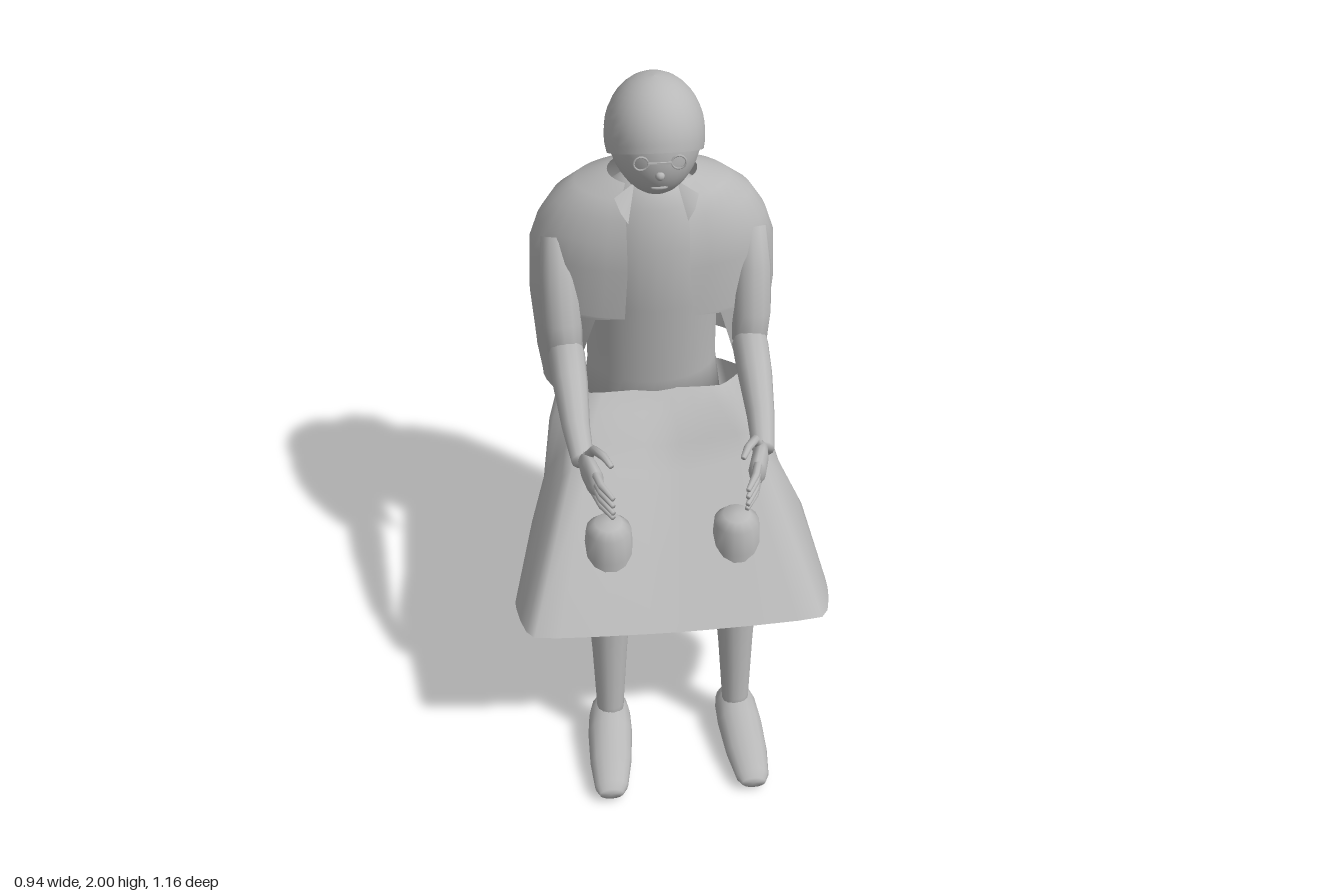
import * as THREE from 'three';

const V = (x, y, z) => new THREE.Vector3(x, y, z);

// Skin a stack of equal-length rings, optionally closed around and capped.
function skin(rings, closed = true, caps = false) {
  const n = rings[0].length, pos = [], idx = [];
  rings.forEach(r => r.forEach(p => pos.push(p.x, p.y, p.z)));
  const cols = closed ? n : n - 1;
  for (let i = 0; i < rings.length - 1; i++) {
    for (let j = 0; j < cols; j++) {
      const k = (j + 1) % n;
      const a = i * n + j, b = i * n + k, c = b + n, d = a + n;
      idx.push(a, b, c, a, c, d);
    }
  }
  if (caps) {
    [0, rings.length - 1].forEach(i => {
      const m = rings[i].reduce((s, p) => s.add(p), V(0, 0, 0)).divideScalar(n);
      const o = pos.length / 3;
      pos.push(m.x, m.y, m.z);
      for (let j = 0; j < n; j++) {
        const a = i * n + j, b = i * n + (j + 1) % n;
        if (i === 0) idx.push(o, b, a); else idx.push(o, a, b);
      }
    });
  }
  const g = new THREE.BufferGeometry();
  g.setAttribute('position', new THREE.Float32BufferAttribute(pos, 3));
  g.setIndex(idx);
  g.computeVertexNormals();
  return g;
}

// Tapered limb through points [x, y, z, radius].
function limb(pts, sides = 12) {
  const P = pts.map(p => V(p[0], p[1], p[2]));
  const rings = P.map((p, i) => {
    const t = P[Math.min(i + 1, P.length - 1)].clone().sub(P[Math.max(i - 1, 0)]).normalize();
    const u = V(1, 0, 0).addScaledVector(t, -t.x).normalize();
    const v = t.clone().cross(u);
    return Array.from({ length: sides }, (_, j) => {
      const a = j / sides * Math.PI * 2;
      return p.clone().addScaledVector(u, Math.cos(a) * pts[i][3]).addScaledVector(v, Math.sin(a) * pts[i][3]);
    });
  });
  return skin(rings, true, true);
}

// Horizontal elliptical ring: centre z, radii, height.
const ellipse = ([y, rx, rz, cz], n = 24) => Array.from({ length: n }, (_, j) => {
  const a = j / n * Math.PI * 2;
  return V(Math.sin(a) * rx, y, cz + Math.cos(a) * rz);
});

export function createModel() {
  const group = new THREE.Group();
  const clay = new THREE.MeshStandardMaterial({ color: 0xb8b8b8, side: THREE.DoubleSide });
  clay.name = 'plain grey';
  const add = (name, geo, x = 0, y = 0, z = 0) => {
    const m = new THREE.Mesh(geo, clay);
    m.name = name;
    m.position.set(x, y, z);
    group.add(m);
    return m;
  };

  // Head: egg shape narrowing to the chin
  const head = new THREE.SphereGeometry(1, 28, 20);
  const hp = head.attributes.position;
  for (let i = 0; i < hp.count; i++) {
    const y = hp.getY(i), k = Math.max(0, -y);
    hp.setXYZ(i, hp.getX(i) * 0.135 * (1 - 0.12 * k), y * 0.168, hp.getZ(i) * 0.158 + 0.015 * k);
  }
  head.computeVertexNormals();
  add('head', head, 0, 1.83, -0.23);

  // Hair cap, short over the brow and long at the nape
  const hair = [];
  for (let i = 0; i <= 12; i++) {
    hair.push(Array.from({ length: 28 }, (_, j) => {
      const a = j / 28 * Math.PI * 2;
      const th = (1 - i / 12) * (1.9 - 0.45 * Math.cos(a)) + 0.001;
      return V(Math.sin(a) * Math.sin(th) * 0.142, 1.83 + Math.cos(th) * 0.172, -0.23 + Math.cos(a) * Math.sin(th) * 0.165);
    }));
  }
  add('hair', skin(hair));
  add('ponytail', limb([[0, 1.73, -0.375, 0.025], [0, 1.765, -0.4, 0.036], [0, 1.75, -0.435, 0.04], [0, 1.69, -0.475, 0.04],
    [0, 1.6, -0.512, 0.038], [0, 1.5, -0.53, 0.03], [0, 1.42, -0.535, 0.022], [0, 1.385, -0.54, 0.01]]));

  // Face details
  add('nose', new THREE.SphereGeometry(0.014, 8, 6), 0, 1.775, -0.078);
  const mouth = add('mouth', new THREE.SphereGeometry(0.025, 10, 6), 0, 1.728, -0.098);
  mouth.scale.set(1, 0.3, 0.3);
  for (const s of [1, -1]) add('spectacleRim', new THREE.TorusGeometry(0.02, 0.003, 5, 14), s * 0.052, 1.815, -0.078);
  add('spectacleBridge', new THREE.BoxGeometry(0.064, 0.005, 0.005), 0, 1.818, -0.07);

  // Neck and shirt
  add('neck', new THREE.CylinderGeometry(0.07, 0.085, 0.16, 18), 0, 1.65, -0.29);
  add('torso', skin([[0.84, 0.22, 0.16, -0.36], [1.0, 0.2, 0.16, -0.35], [1.28, 0.2, 0.165, -0.32],
    [1.48, 0.21, 0.16, -0.31], [1.6, 0.16, 0.12, -0.31], [1.66, 0.08, 0.08, -0.3]].map(r => ellipse(r)), true, true));

  // Sleeveless cape, open at the front: height, half width, front z, back z, half opening
  const cape = [
    [0.935, 0.34, -0.14, -0.58, 0.27], [1.08, 0.355, -0.12, -0.568, 0.24], [1.28, 0.368, -0.1, -0.555, 0.185],
    [1.29, 0.368, -0.1, -0.555, 0.1], [1.45, 0.362, -0.1, -0.545, 0.09], [1.53, 0.335, -0.11, -0.525, 0.09],
    [1.6, 0.29, -0.13, -0.495, 0.09], [1.65, 0.225, -0.155, -0.455, 0.1], [1.68, 0.13, -0.19, -0.41, 0.085]
  ].map(([y, w, f, b, open], i) => {
    const start = Math.asin(open / w);
    return Array.from({ length: 33 }, (_, j) => {
      const a = start + (j / 32) * (Math.PI * 2 - 2 * start);
      const lift = i === 0 ? 0.02 * (1 - Math.cos(a)) : 0;
      return V(Math.sin(a) * w, y + lift, (f + b) / 2 + Math.cos(a) * (f - b) / 2);
    });
  });
  add('cape', skin(cape, false));

  // Skirt: half sections from top centre round to bottom centre, waist to hem
  const skirt = [
    [[0, 0.97, -0.2], [0.2, 0.96, -0.21], [0.29, 0.92, -0.35], [0.22, 0.86, -0.5], [0, 0.84, -0.54]],
    [[0, 0.92, -0.14], [0.23, 0.93, -0.15], [0.33, 0.86, -0.23], [0.24, 0.75, -0.37], [0, 0.75, -0.4]],
    [[0, 0.9, 0], [0.27, 0.93, 0], [0.36, 0.79, -0.03], [0.28, 0.655, -0.2], [0, 0.66, -0.22]],
    [[0, 0.89, 0.12], [0.28, 0.93, 0.12], [0.405, 0.75, 0.13], [0.34, 0.63, 0.06], [0, 0.63, 0.07]],
    [[0, 0.59, 0.48], [0.42, 0.585, 0.455], [0.47, 0.54, 0.25], [0.4, 0.53, 0.15], [0, 0.52, 0.14]]
  ].map(half => {
    const left = half.slice(1, 4).map(([x, y, z]) => [-x, y, z]);
    const loop = [half[0], ...left, half[4], ...half.slice(1, 4).reverse()].map(p => V(...p));
    return new THREE.CatmullRomCurve3(loop, true, 'catmullrom', 0.22).getPoints(32).slice(0, 32);
  });
  add('skirt', skin(skirt.reverse().map(r => r.slice().reverse())));
  add('seat', new THREE.SphereGeometry(1, 24, 16), 0, 0.765, -0.39).scale.set(0.24, 0.155, 0.145);

  for (const s of [1, -1]) {
    const side = s > 0 ? 'left' : 'right';
    // Collar point
    const flap = [V(s * 0.06, 1.69, -0.2), V(s * 0.12, 1.66, -0.17), V(s * 0.085, 1.6, -0.125)];
    add(side + 'Collar', skin([[flap[0], flap[1]], [flap[2], flap[2].clone().add(V(s * 0.02, 0.03, -0.01))]], false));

    // Legs and feet
    add(side + 'Thigh', limb([[s * 0.14, 0.77, -0.35, 0.08], [s * 0.17, 0.76, 0, 0.08], [s * 0.19, 0.755, 0.24, 0.07]]));
    add(side + 'LowerLeg', limb([[s * 0.187, 0.845, 0.27, 0.04], [s * 0.187, 0.82, 0.268, 0.066], [s * 0.188, 0.74, 0.267, 0.073],
      [s * 0.19, 0.56, 0.267, 0.068], [s * 0.193, 0.36, 0.283, 0.053], [s * 0.196, 0.14, 0.295, 0.042], [s * 0.196, 0.08, 0.297, 0.04]], 14));
    const foot = [[0.24, 0.03, 0.03, 0.08], [0.25, 0.055, 0.058, 0.072], [0.29, 0.064, 0.069, 0.072], [0.36, 0.068, 0.06, 0.064],
      [0.47, 0.063, 0.045, 0.05], [0.56, 0.05, 0.034, 0.04], [0.585, 0.036, 0.02, 0.038]]
      .map(([z, rx, ry, cy]) => Array.from({ length: 16 }, (_, j) => {
        const a = j / 16 * Math.PI * 2;
        return V(s * (0.196 + (z - 0.24) * 0.06) + Math.cos(a) * rx, cy + Math.sin(a) * ry, z);
      }));
    add(side + 'Foot', skin(foot, true, true));

    // Arms
    add(side + 'UpperArm', limb([[s * 0.28, 1.5, -0.25, 0.05], [s * 0.282, 1.39, -0.2, 0.058], [s * 0.28, 1.26, -0.16, 0.058],
      [s * 0.275, 1.17, -0.145, 0.052], [s * 0.275, 1.13, -0.14, 0.02]]));
    add(side + 'Forearm', limb([[s * 0.275, 1.175, -0.17, 0.035], [s * 0.273, 1.172, -0.12, 0.054], [s * 0.27, 1.15, 0, 0.051],
      [s * 0.265, 1.11, 0.16, 0.04], [s * 0.255, 1.085, 0.28, 0.032]]));

    // Hand with four fingers and a thumb
    const palm = limb([[0, 0, 0, 0.032], [0, -0.005, 0.04, 0.048], [0, -0.015, 0.09, 0.05], [0, -0.018, 0.11, 0.035]]);
    palm.scale(0.5, 1, 1).rotateY(-s * 0.3);
    add(side + 'Palm', palm, s * 0.253, 1.085, 0.275);
    for (let f = 0; f < 4; f++) {
      const y = 1.105 - f * 0.025, len = f === 3 ? 0.9 : 1;
      add(side + 'Finger', limb([[s * 0.228, y, 0.36, 0.012], [s * 0.213, y - 0.004, 0.36 + 0.055 * len, 0.011],
        [s * 0.185, y - 0.01, 0.36 + 0.11 * len, 0.007]], 8));
    }
    add(side + 'Thumb', limb([[s * 0.245, 1.1, 0.285, 0.014], [s * 0.225, 1.145, 0.31, 0.013], [s * 0.2, 1.15, 0.35, 0.012], [s * 0.182, 1.14, 0.385, 0.008]], 8));
  }
  return group;
}
